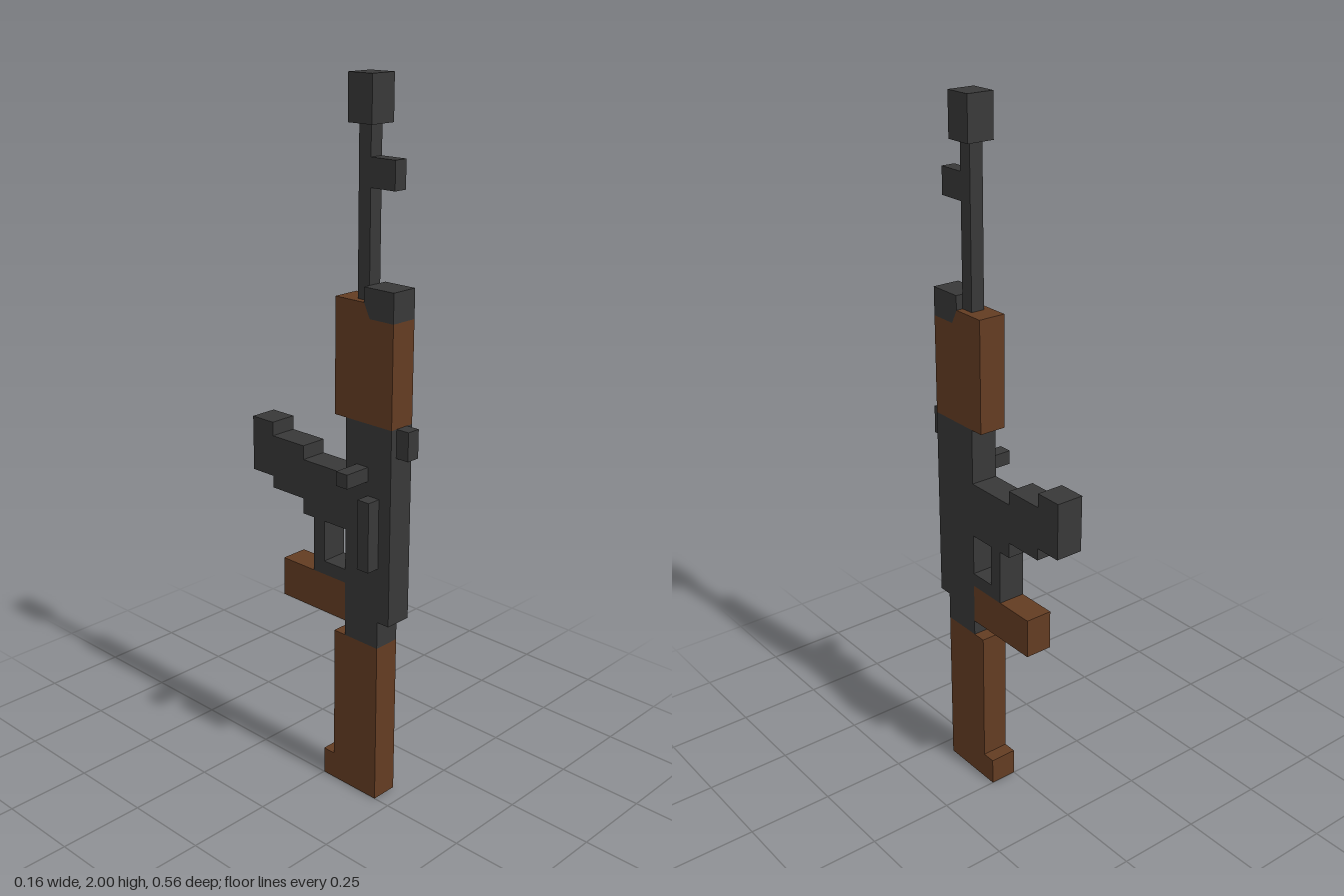
import * as THREE from 'three';

const metal = new THREE.MeshStandardMaterial({ color: 0x383838 });
metal.name = 'dark metal';
const wood = new THREE.MeshStandardMaterial({ color: 0x633c22 });
wood.name = 'brown wood';

// Extrudes a side profile of [z, y] points across the width x0..x1.
function slab(name, material, points, x0 = 0, x1 = 0.08) {
  const shape = new THREE.Shape(points.map(([z, y]) => new THREE.Vector2(z, y)));
  const geometry = new THREE.ExtrudeGeometry(shape, { depth: x1 - x0, bevelEnabled: false });
  geometry.rotateY(-Math.PI / 2).translate(x1, 0, 0);
  const mesh = new THREE.Mesh(geometry, material);
  mesh.name = name;
  return mesh;
}

// Box given by its limits along each axis.
function block(name, material, [z0, z1], [y0, y1], [x0, x1] = [0, 0.08]) {
  const geometry = new THREE.BoxGeometry(x1 - x0, y1 - y0, z1 - z0);
  geometry.translate((x0 + x1) / 2, (y0 + y1) / 2, (z0 + z1) / 2);
  const mesh = new THREE.Mesh(geometry, material);
  mesh.name = name;
  return mesh;
}

export function createModel() {
  const model = new THREE.Group();
  model.name = 'rifle';
  const narrow = [0.02, 0.06];

  model.add(
    // Barrel, standing upright
    block('muzzle', metal, [0.08, 0.16], [1.88, 2]),
    block('barrel', metal, [0.10, 0.14], [1.44, 1.88], narrow),
    block('frontSight', metal, [0.14, 0.22], [1.725, 1.8], narrow),

    // Handguard with the slanted joint to the gas block
    slab('gasBlock', metal, [[0.24, 1.40], [0.24, 1.48], [0.14, 1.48], [0.14, 1.44], [0.16, 1.40]]),
    slab('handguard', wood, [
      [0.24, 1.12], [0.24, 1.40], [0.16, 1.40], [0.14, 1.44], [0.04, 1.44], [0.04, 1.12],
    ]),

    // Receiver and its fittings
    slab('receiver', metal, [
      [0.20, 0.48], [0.20, 0.56], [0.24, 0.56], [0.24, 1.12], [0.08, 1.12], [0.08, 0.48],
    ]),
    block('rearSight', metal, [0.24, 0.28], [1.04, 1.12], narrow),
    block('chargingHandle', metal, [0.12, 0.16], [0.96, 1.0], [-0.08, 0]),
    block('sideCover', metal, [0.16, 0.20], [0.72, 0.92], [-0.04, 0]),

    // Stepped magazine
    slab('magazine', metal, [
      [0.08, 0.80], [0.08, 0.96], [-0.08, 0.96], [-0.08, 1.0], [-0.20, 1.0], [-0.20, 1.04],
      [-0.28, 1.04], [-0.28, 0.88], [-0.20, 0.88], [-0.20, 0.845], [-0.08, 0.845], [-0.08, 0.80],
    ]),

    // Trigger guard, leaving an opening beside the receiver
    slab('triggerGuard', metal, [
      [0.08, 0.64], [0.08, 0.68], [0, 0.68], [0, 0.80], [-0.04, 0.80], [-0.04, 0.64],
    ]),

    // Wooden grip and stock
    block('grip', wood, [-0.16, 0.08], [0.525, 0.64]),
    slab('stock', wood, [
      [0.20, 0], [0.20, 0.48], [0.04, 0.48], [0.04, 0.08], [0, 0.08], [0, 0],
    ]),
  );
  return model;
}
